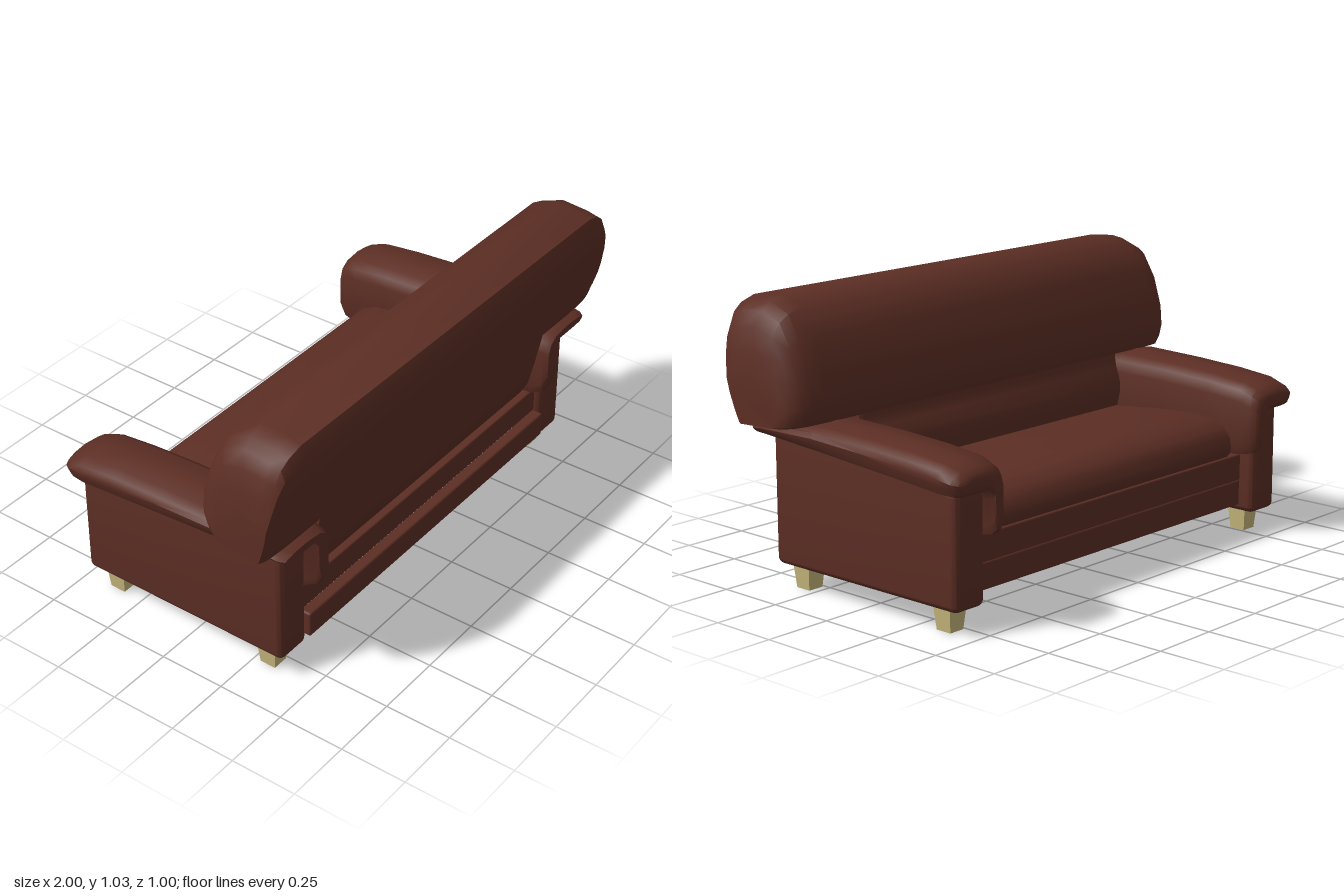
import * as THREE from 'three';
import { toCreasedNormals } from 'three/addons/utils/BufferGeometryUtils.js';
import { RoundedBoxGeometry } from 'three/addons/geometries/RoundedBoxGeometry.js';

const leather = new THREE.MeshStandardMaterial({ color: 0x5c2e24 });
leather.name = 'brown leather';
const wood = new THREE.MeshStandardMaterial({ color: 0xc6b67c });
wood.name = 'pale wood';

// Joins counter-clockwise [x, y] rings placed at rising z, and closes both ends
function loft(rings) {
  const n = rings[0].pts.length;
  const pos = [], index = [];
  for (const r of rings) for (const [x, y] of r.pts) pos.push(x, y, r.w);
  for (let k = 0; k < rings.length - 1; k++) {
    for (let i = 0; i < n; i++) {
      const a = k * n + i, b = k * n + (i + 1) % n;
      index.push(a, b, b + n, a, b + n, a + n);
    }
  }
  const last = (rings.length - 1) * n;
  const cap = (r) => THREE.ShapeUtils.triangulateShape(r.pts.map(([x, y]) => new THREE.Vector2(x, y)), []);
  for (const [a, b, c] of cap(rings[0])) index.push(a, c, b);
  for (const [a, b, c] of cap(rings[rings.length - 1])) index.push(last + a, last + b, last + c);
  const g = new THREE.BufferGeometry();
  g.setAttribute('position', new THREE.Float32BufferAttribute(pos, 3));
  g.setIndex(index);
  return toCreasedNormals(g, 0.75);
}

// Lofts a [z, y] profile along x, mirrored; ends = [x, reshape(point)] from middle outwards
function loftAcross(profile, ends) {
  const right = ends.map(([x, f]) => ({ w: x, pts: profile.map(f) }));
  const left = right.map((r) => ({ w: -r.w, pts: r.pts })).reverse();
  return loft([...left, ...right]).rotateY(-Math.PI / 2);
}

// Shrinks a point about a centre, used to round cushion ends
const shrink = (cz, cy, sz, sy) => ([z, y]) => [cz + (z - cz) * sz, cy + (y - cy) * sy];

function add(parent, name, geometry, material = leather) {
  const mesh = new THREE.Mesh(geometry, material);
  mesh.name = name;
  parent.add(mesh);
  return mesh;
}

function box(parent, name, w, h, d, x, y, z, r = 0.008) {
  add(parent, name, new RoundedBoxGeometry(w, h, d, 2, r)).position.set(x, y, z);
}

// Cross-section of the arm pad: broad top, thin outer lip undercut below, inner hanging flap
function armSection([z, top, under, bottom, inner, outer]) {
  const a = 0.66 + inner, b = 0.92 - outer, h = top - under;
  return { w: z, pts: [
    [a, bottom + 0.03], [a + 0.012, bottom], [0.71, bottom], [0.72, bottom + 0.03],
    [0.725, under - 0.03], [0.745, under], [0.85, under], [b - 0.018, under + 0.08 * h],
    [b - 0.005, under + 0.35 * h], [b, under + 0.55 * h], [b - 0.012, under + 0.75 * h],
    [b - 0.045, under + 0.92 * h], [0.79, top], [a + 0.045, top - 0.008],
    [a + 0.012, top - 0.03], [a, top - 0.07],
  ] };
}

function createArm() {
  const arm = new THREE.Group();
  // Side panel whose top slopes down toward the seat front
  const panel = new RoundedBoxGeometry(0.14, 0.455, 0.855, 4, 0.025);
  const p = panel.attributes.position;
  for (let i = 0; i < p.count; i++) {
    if (p.getY(i) > 0) p.setY(i, p.getY(i) - 0.012 + 0.09 * (p.getZ(i) + 0.03));
  }
  panel.computeVertexNormals();
  add(arm, 'armPanel', toCreasedNormals(panel, 0.75)).position.set(0.79, 0.3105, -0.0275);

  // z, top, underside, flap bottom, inner inset, outer inset
  const sections = [
    [-0.503, 0.535, 0.50, 0.38, 0.035, 0.048], [-0.495, 0.553, 0.485, 0.345, 0.018, 0.033],
    [-0.472, 0.568, 0.474, 0.325, 0.007, 0.02], [-0.42, 0.586, 0.475, 0.315, 0.001, 0.012],
    [-0.28, 0.60, 0.488, 0.31, 0, 0.009], [-0.08, 0.61, 0.505, 0.31, 0, 0.006],
    [0.15, 0.615, 0.526, 0.31, 0, 0.002], [0.39, 0.592, 0.546, 0.315, 0, 0],
    [0.435, 0.582, 0.546, 0.34, 0.004, 0.006], [0.455, 0.575, 0.546, 0.38, 0.012, 0.02],
  ];
  add(arm, 'armPad', loft(sections.map(armSection)));

  // Tapered square feet
  for (const z of [-0.36, 0.308]) {
    const foot = new THREE.CylinderGeometry(0.055, 0.043, 0.09, 4).rotateY(Math.PI / 4).toNonIndexed();
    foot.computeVertexNormals();
    add(arm, 'foot', foot, wood).position.set(0.79, 0.045, z);
  }
  return arm;
}

export function createModel() {
  const sofa = new THREE.Group();
  sofa.name = 'sofa';

  // Mirrored arms
  for (const side of [1, -1]) {
    const arm = createArm();
    arm.name = side > 0 ? 'leftArm' : 'rightArm';
    arm.scale.x = side;
    sofa.add(arm);
  }

  // Open lower frame and the seat platform above it
  box(sofa, 'backRail', 1.445, 0.097, 0.045, 0, 0.1565, 0.3925);
  box(sofa, 'frontRail', 1.445, 0.097, 0.045, 0, 0.1565, -0.3725);
  for (const x of [-0.7, 0.7]) box(sofa, 'sideRail', 0.03, 0.09, 0.74, x, 0.157, 0.01);
  box(sofa, 'seatPlatform', 1.445, 0.099, 0.772, 0, 0.2535, -0.01, 0.006);

  // Seat cushion, rounded over at the front edge
  const seat = [
    [0.3, 0.29], [0.3, 0.41], [0.15, 0.415], [-0.05, 0.435], [-0.24, 0.445], [-0.31, 0.437],
    [-0.365, 0.413], [-0.393, 0.375], [-0.4, 0.34], [-0.392, 0.31], [-0.375, 0.29],
  ];
  add(sofa, 'seatCushion', loftAcross(seat, [
    [0.65, shrink(0, 0.36, 1, 1)], [0.67, shrink(0, 0.36, 0.985, 0.93)],
  ]));

  // Lower back between the arms, with a soft lumbar roll above the seat
  const lumbar = [
    [0.32, 0.30], [0.355, 0.315], [0.38, 0.36], [0.405, 0.46], [0.432, 0.60], [0.44, 0.66],
    [0.2, 0.66], [0.163, 0.62], [0.164, 0.59], [0.152, 0.562], [0.138, 0.535],
    [0.13, 0.50], [0.131, 0.465], [0.142, 0.42], [0.16, 0.30],
  ];
  add(sofa, 'lowerBack', loftAcross(lumbar, [
    [0.655, shrink(0.3, 0.6, 1, 1)], [0.675, shrink(0.3, 0.6, 0.95, 0.98)],
  ]));

  // Wide upper back pad with rounded ends that tuck in at the lower front
  const pad = [
    [0.19, 0.602], [0.428, 0.59], [0.436, 0.61], [0.462, 0.72], [0.487, 0.85], [0.502, 0.965],
    [0.485, 1.008], [0.44, 1.019], [0.335, 1.028], [0.245, 0.995], [0.19, 0.90],
    [0.155, 0.78], [0.14, 0.70], [0.145, 0.65], [0.16, 0.612],
  ];
  const padGeometry = loftAcross(pad, [
    [0.85, shrink(0.37, 0.6, 1, 1)], [0.91, shrink(0.37, 0.6, 0.975, 0.955)],
    [0.945, shrink(0.38, 0.6, 0.94, 0.89)], [0.972, shrink(0.39, 0.6, 0.86, 0.77)],
    [0.99, shrink(0.39, 0.6, 0.76, 0.60)], [1.002, shrink(0.39, 0.6, 0.62, 0.40)],
  ]);
  const p = padGeometry.attributes.position;
  for (let i = 0; i < p.count; i++) {
    const low = Math.max(0, 0.74 - p.getY(i)), front = 1 - 2 * (p.getZ(i) - 0.14);
    p.setX(i, p.getX(i) * (1 - 0.2 * low * front));
  }
  add(sofa, 'upperBack', padGeometry);
  return sofa;
}
